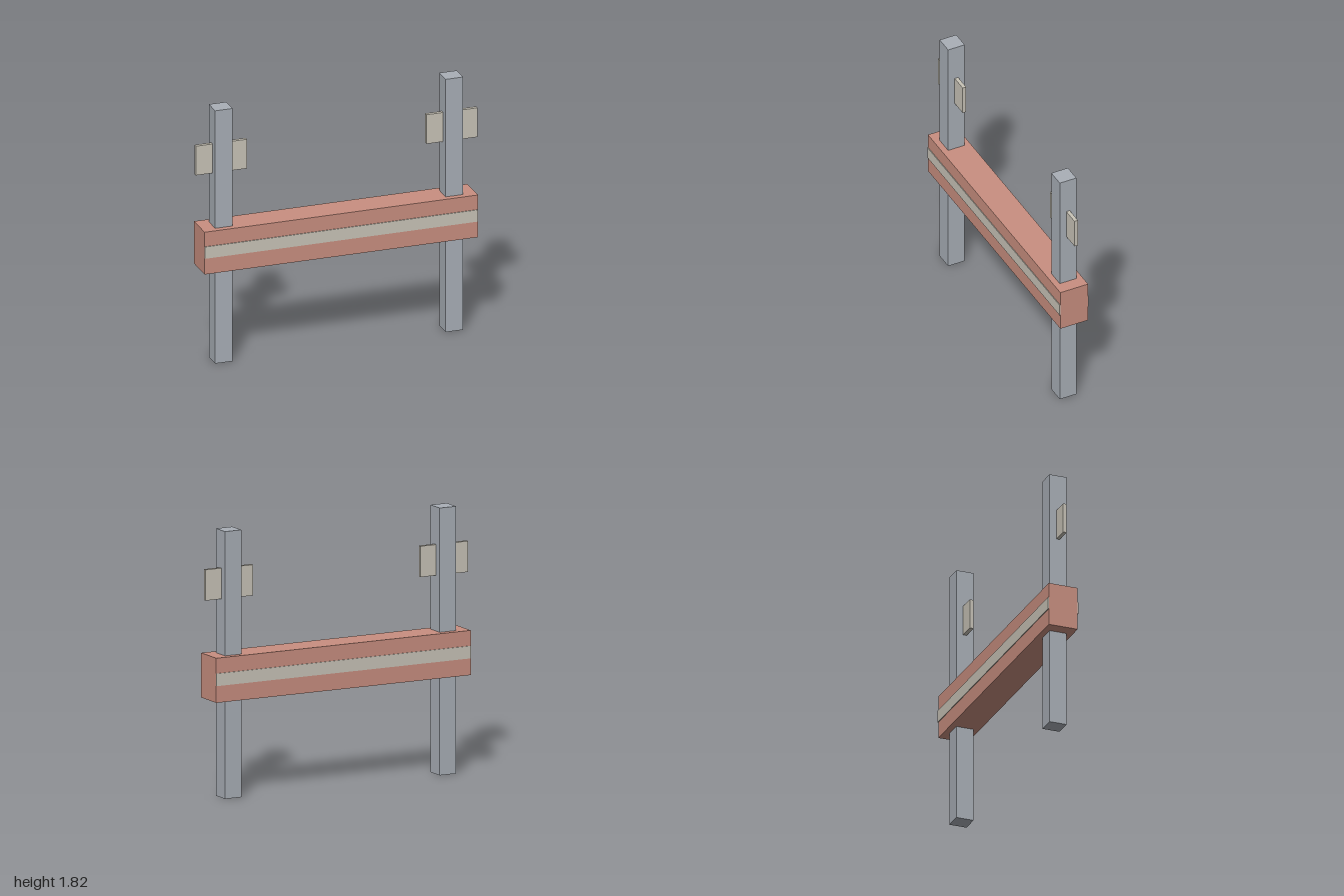
import * as THREE from 'three';

const mat = (name, color) => {
  const m = new THREE.MeshStandardMaterial({ color });
  m.name = name;
  return m;
};

export function createModel() {
  const group = new THREE.Group();
  const postGrey = mat('postGrey', 0xa9afb7);
  const beamRed = mat('beamRed', 0xc98f80);
  const paleCream = mat('paleCream', 0xc9c4b8);

  const box = (name, material, [w, h, d], [x, y, z]) => {
    const mesh = new THREE.Mesh(new THREE.BoxGeometry(w, h, d), material);
    mesh.name = name;
    mesh.position.set(x, y, z);
    group.add(mesh);
  };

  // Upright posts, each with a small sign plate through it
  for (const [side, s] of [['left', 1], ['right', -1]]) {
    box(side + 'Post', postGrey, [0.124, 1.82, 0.124], [s * 0.818, 0.91, 0]);
    box(side + 'Plate', paleCream, [0.362, 0.21, 0.026], [s * 0.819, 1.458, 0]);
  }

  // Thick horizontal beam
  box('beam', beamRed, [1.94, 0.304, 0.208], [0, 0.822, 0]);

  // Pale stripe along the front and back of the beam
  for (const [side, s] of [['front', 1], ['back', -1]]) {
    box(side + 'Stripe', paleCream, [1.94, 0.085, 0.006], [0, 0.827, s * 0.106]);
  }

  return group;
}
